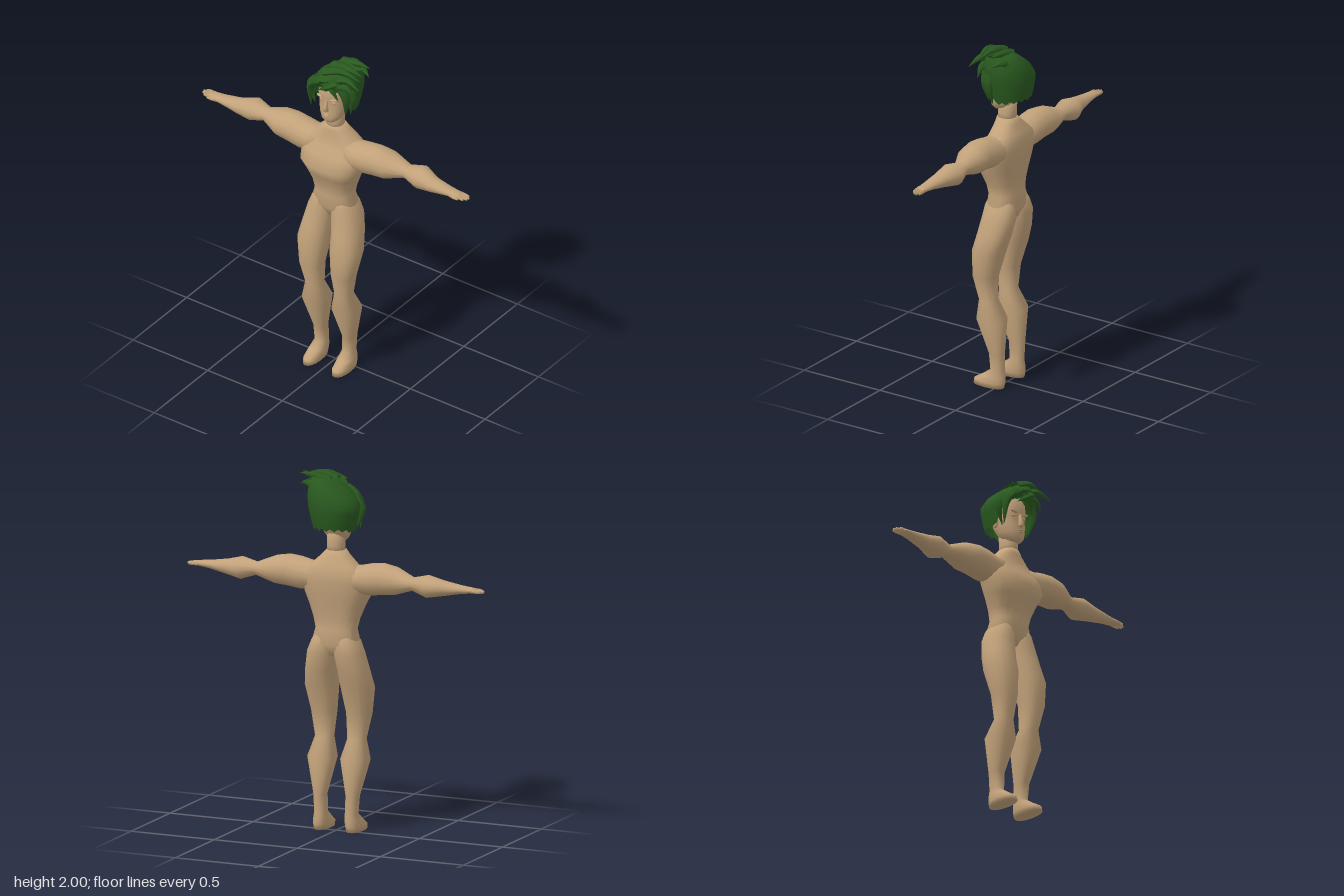
import * as THREE from 'three';

const skin = new THREE.MeshStandardMaterial({ color: 0xc2a27a });
skin.name = 'skin';
const green = new THREE.MeshStandardMaterial({ color: 0x29591f, side: THREE.DoubleSide });
green.name = 'hair green';

// Smooth skin over a list of rings, with optional end caps
function loft(rings, capStart = true, capEnd = true) {
  const n = rings[0].length, pos = [], idx = [];
  rings.forEach(r => r.forEach(p => pos.push(...p)));
  for (let i = 0; i < rings.length - 1; i++) for (let j = 0; j < n; j++) {
    const a = i * n + j, b = i * n + (j + 1) % n;
    idx.push(a, b, b + n, a, b + n, a + n);
  }
  const cap = (i, flip) => {
    const c = pos.length / 3;
    pos.push(...[0, 1, 2].map(k => rings[i].reduce((s, p) => s + p[k], 0) / n));
    for (let j = 0; j < n; j++) {
      const a = i * n + j, b = i * n + (j + 1) % n;
      idx.push(...(flip ? [c, b, a] : [c, a, b]));
    }
  };
  if (capStart) cap(0, true);
  if (capEnd) cap(rings.length - 1, false);
  const g = new THREE.BufferGeometry();
  g.setAttribute('position', new THREE.Float32BufferAttribute(pos, 3));
  g.setIndex(idx);
  g.computeVertexNormals();
  return g;
}

const round = (v, e) => Math.sign(v) * Math.pow(Math.abs(v), e);
const angles = n => Array.from({ length: n }, (_, j) => j / n * Math.PI * 2);

// Upright form: rows of [y, xMin, xMax, zBack, zFront]
const upright = (rows, n = 16, e = 0.9) => loft(rows.map(([y, x0, x1, z0, z1]) => angles(n).map(a => [
  (x0 + x1) / 2 + (x1 - x0) / 2 * round(Math.sin(a), e), y,
  (z0 + z1) / 2 + (z1 - z0) / 2 * round(Math.cos(a), e)])));
const centred = rows => rows.map(([y, w, z0, z1]) => [y, -w, w, z0, z1]);

// Sideways form: rows of [x, yMin, yMax, zBack, zFront]
const sideways = (rows, n = 14) => loft(rows.map(([x, y0, y1, z0, z1]) => angles(n).map(a => [
  x, (y0 + y1) / 2 - (y1 - y0) / 2 * Math.sin(a), (z0 + z1) / 2 + (z1 - z0) / 2 * Math.cos(a)])));

function mirrored(geo) {
  const g = geo.clone().scale(-1, 1, 1), ix = g.index.array;
  for (let i = 0; i < ix.length; i += 3) [ix[i], ix[i + 1]] = [ix[i + 1], ix[i]];
  g.computeVertexNormals();
  return g;
}

// Tapered lock of hair along a three-point curve
function lock(a, b, c, radius) {
  const path = new THREE.CatmullRomCurve3([a, b, c].map(p => new THREE.Vector3(...p)));
  const n = 8, sides = 6, g = new THREE.TubeGeometry(path, n, radius, sides);
  const p = g.attributes.position, v = new THREE.Vector3();
  for (let i = 0; i < p.count; i++) {
    const t = Math.floor(i / (sides + 1)) / n, o = path.getPointAt(t);
    v.fromBufferAttribute(p, i).sub(o).multiplyScalar(1.02 - Math.pow(t, 1.6)).add(o);
    p.setXYZ(i, v.x, v.y, v.z);
  }
  g.computeVertexNormals();
  return g;
}

export function createModel() {
  const model = new THREE.Group();
  const add = (name, geo, mat = skin) => {
    const m = new THREE.Mesh(geo, mat);
    m.name = name;
    model.add(m);
    return m;
  };
  const pair = (name, geo, mat = skin) => {
    add(name + 'Left', geo, mat);
    add(name + 'Right', mirrored(geo), mat);
  };

  // Torso, from hips to the base of the neck
  add('torso', upright(centred([
    [0.985, 0.12, -0.06, 0.055], [1.05, 0.138, -0.09, 0.09], [1.13, 0.117, -0.076, 0.085],
    [1.19, 0.132, -0.075, 0.092], [1.26, 0.158, -0.085, 0.122], [1.325, 0.188, -0.095, 0.152],
    [1.40, 0.198, -0.105, 0.115], [1.45, 0.185, -0.1, 0.08], [1.49, 0.135, -0.088, 0.068],
    [1.54, 0.08, -0.062, 0.058], [1.57, 0.052, -0.05, 0.055]]), 20, 0.8));
  add('neck', upright(centred([
    [1.55, 0.052, -0.05, 0.055], [1.59, 0.048, -0.05, 0.052], [1.67, 0.05, -0.055, 0.05]])));

  // Legs with feet
  pair('leg', upright([
    [0, 0.055, 0.14, -0.04, 0.153], [0.03, 0.05, 0.143, -0.045, 0.147], [0.065, 0.05, 0.138, -0.045, 0.09],
    [0.1, 0.056, 0.128, -0.04, 0.043], [0.2, 0.06, 0.134, -0.042, 0.05], [0.4, 0.018, 0.18, -0.05, 0.12],
    [0.51, 0.045, 0.149, 0.008, 0.11], [0.65, 0.035, 0.176, 0, 0.143], [0.8, 0.015, 0.2, -0.045, 0.14],
    [0.9, 0.01, 0.183, -0.076, 0.115], [1.0, -0.004, 0.162, -0.096, 0.096], [1.06, 0, 0.138, -0.088, 0.088],
    [1.12, 0.01, 0.105, -0.06, 0.065]]));

  // Arms, from inside the chest to the palm
  pair('arm', sideways([
    [0.06, 1.35, 1.5, -0.07, 0.07], [0.14, 1.335, 1.492, -0.088, 0.09], [0.21, 1.33, 1.508, -0.085, 0.093],
    [0.28, 1.34, 1.516, -0.085, 0.09], [0.36, 1.348, 1.503, -0.09, 0.085], [0.47, 1.385, 1.458, -0.062, 0.03],
    [0.56, 1.355, 1.48, -0.094, 0.056], [0.65, 1.37, 1.455, -0.055, 0.046], [0.75, 1.39, 1.438, -0.038, 0.038],
    [0.82, 1.399, 1.43, -0.03, 0.032], [0.84, 1.402, 1.427, -0.027, 0.028]]));
  for (let i = 0; i < 4; i++) {
    const z = -0.021 + i * 0.014, tip = [0.878, 0.889, 0.886, 0.87][i];
    pair('finger', sideways([
      [0.82, 1.403, 1.426, z - 0.008, z + 0.008], [0.86, 1.402, 1.424, z - 0.008, z + 0.008],
      [tip, 1.404, 1.42, z - 0.005, z + 0.005]], 6));
  }
  pair('thumb', sideways([
    [0.77, 1.4, 1.425, 0.012, 0.034], [0.81, 1.4, 1.42, 0.02, 0.041], [0.84, 1.403, 1.416, 0.026, 0.039]], 6));

  // Head and face
  add('head', upright(centred([
    [1.61, 0.032, 0.02, 0.076], [1.63, 0.054, -0.025, 0.092], [1.66, 0.071, -0.05, 0.09],
    [1.70, 0.079, -0.075, 0.09], [1.75, 0.084, -0.095, 0.085], [1.775, 0.086, -0.1, 0.096],
    [1.84, 0.086, -0.11, 0.088], [1.9, 0.06, -0.08, 0.05]]), 20, 0.85));
  add('nose', upright(centred([
    [1.688, 0.011, 0.07, 0.098], [1.696, 0.016, 0.07, 0.116], [1.72, 0.011, 0.07, 0.107],
    [1.765, 0.008, 0.07, 0.094]]), 8));
  for (const [y, w] of [[1.668, 0.022], [1.657, 0.018]]) {
    add('lip', new THREE.SphereGeometry(1, 10, 6).scale(w, 0.0055, 0.01).translate(0, y, 0.088));
  }
  pair('brow', new THREE.SphereGeometry(1, 10, 6).scale(0.027, 0.007, 0.012).rotateZ(0.16).translate(0.04, 1.772, 0.084));
  pair('eyelid', new THREE.SphereGeometry(1, 10, 6).scale(0.017, 0.007, 0.01).translate(0.038, 1.75, 0.075));
  pair('ear', new THREE.SphereGeometry(1, 10, 8).scale(0.012, 0.032, 0.02).translate(0.086, 1.72, -0.015));

  // Hair cap: high over the brow, low at the sides, ragged at the nape
  const profile = [[1.66, 0, 0.11, -0.125, 0.085], [1.74, 0, 0.13, -0.145, 0.1], [1.82, 0.002, 0.146, -0.156, 0.115],
    [1.88, 0.026, 0.128, -0.146, 0.12], [1.935, 0.055, 0.09, -0.122, 0.105], [1.975, 0.08, 0.048, -0.08, 0.07]];
  const sectionAt = y => {
    let i = 0;
    while (i < profile.length - 2 && y > profile[i + 1][0]) i++;
    const p = profile[i], q = profile[i + 1], t = (y - p[0]) / (q[0] - p[0]);
    return p.map((v, k) => v + (q[k] - v) * t);
  };
  const hem = (a, j) => {
    const d = Math.abs(a > Math.PI ? a - Math.PI * 2 : a) * 180 / Math.PI;
    const fall = THREE.MathUtils.smoothstep(d, 38, 78), nape = THREE.MathUtils.smoothstep(d, 95, 140);
    return 1.84 - 0.16 * fall + 0.015 * nape + (j % 2 ? 0.012 : -0.004);
  };
  const rings = [];
  for (let i = 0; i <= 9; i++) rings.push(angles(32).map((a, j) => {
    const y = THREE.MathUtils.lerp(hem(a, j), 1.972, i / 9), [, cx, w, z0, z1] = sectionAt(y);
    return [cx + w * Math.sin(a), y, (z0 + z1) / 2 + (z1 - z0) / 2 * Math.cos(a)];
  }));
  add('hairCap', loft(rings, false, true), green);

  // Locks swept over the crown, then the fringe and side locks
  const locks = [
    [[-0.02, 1.93, 0.07], [0.1, 1.975, 0.07], [0.21, 1.945, 0.06], 0.03],
    [[0.0, 1.95, 0.02], [0.1, 1.98, 0.03], [0.21, 1.965, 0.04], 0.03],
    [[0.02, 1.955, -0.04], [0.12, 1.98, -0.04], [0.21, 1.985, -0.03], 0.026],
    [[0.04, 1.9, 0.08], [0.14, 1.94, 0.085], [0.23, 1.912, 0.1], 0.028],
    [[0.06, 1.9, -0.07], [0.14, 1.94, -0.06], [0.2, 1.925, -0.03], 0.032],
    [[0.05, 1.95, -0.02], [0.14, 1.97, 0.0], [0.2, 1.99, 0.0], 0.026],
    [[0.06, 1.88, 0.09], [0.14, 1.88, 0.08], [0.17, 1.83, 0.08], 0.028],
    [[0.03, 1.91, 0.09], [-0.07, 1.87, 0.1], [-0.125, 1.77, 0.08], 0.03],
    [[-0.02, 1.89, 0.1], [-0.1, 1.83, 0.09], [-0.112, 1.675, 0.075], 0.03],
    [[-0.08, 1.86, 0.05], [-0.13, 1.8, 0.05], [-0.1, 1.68, 0.05], 0.03],
    [[0.08, 1.88, 0.07], [0.118, 1.8, 0.07], [0.1, 1.675, 0.05], 0.03],
    [[0.1, 1.87, 0.03], [0.135, 1.8, 0.03], [0.112, 1.672, 0.02], 0.03],
    [[0.08, 1.9, 0.09], [0.03, 1.87, 0.112], [-0.04, 1.825, 0.108], 0.024],
    [[0.0, 1.9, 0.095], [0.05, 1.86, 0.11], [0.085, 1.79, 0.095], 0.022]];
  locks.forEach(([a, b, c, r]) => add('hairLock', lock(a, b, c, r), green));

  return model;
}
